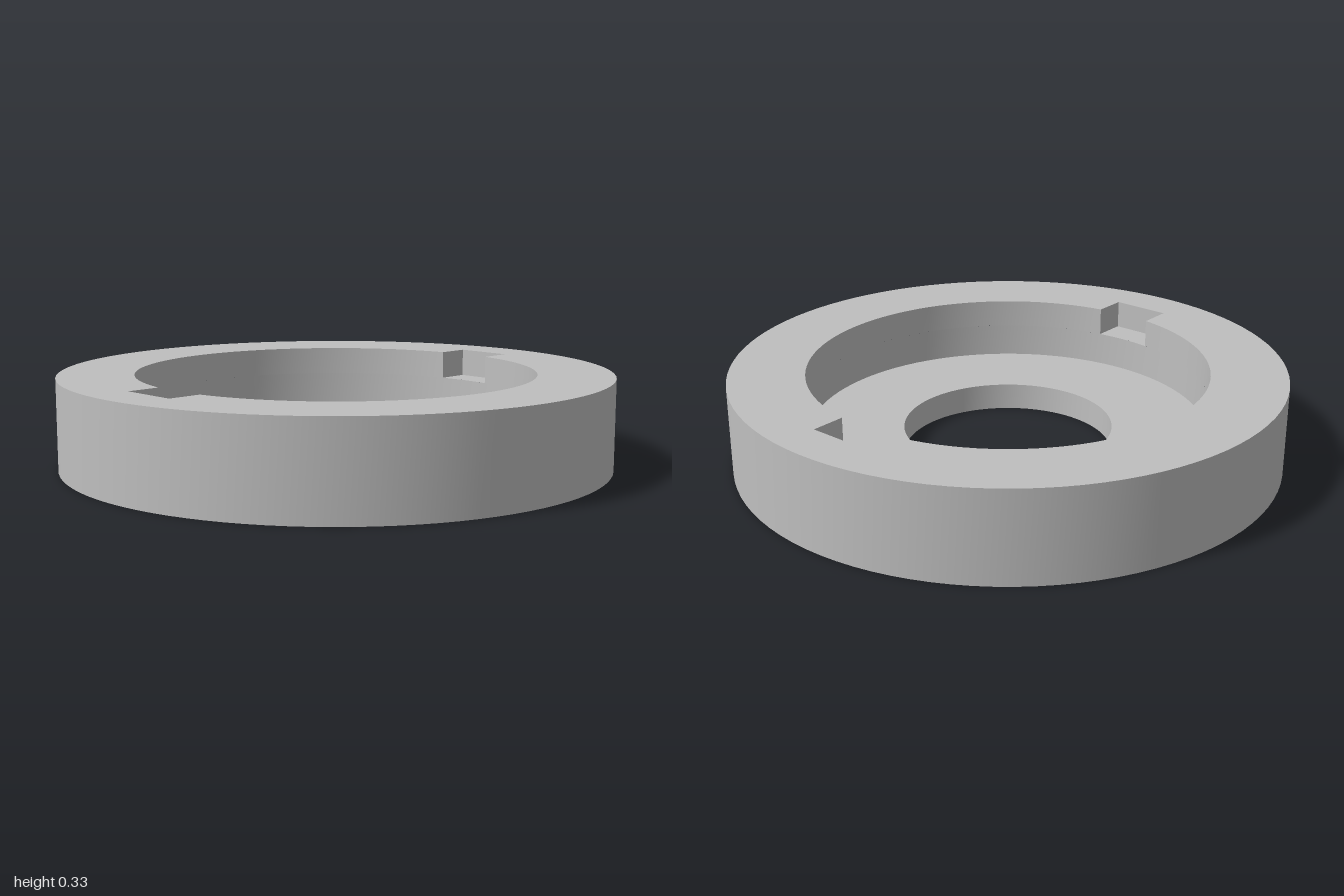
import * as THREE from 'three';
import { toCreasedNormals } from 'three/addons/utils/BufferGeometryUtils.js';

const SEGMENTS = 96;
const HEIGHT = 0.33, NOTCH_Y = 0.225, FLOOR_Y = 0.1;
const OUTER_R = 1, RECESS_R = 0.725, BORE_R = 0.38;
const NOTCH_X = 0.84, NOTCH_HALF = 0.11;

// Counter-clockwise arc, both ends included
function arc(radius, start, end, steps) {
  return Array.from({ length: steps + 1 }, (_, i) => {
    const a = start + ((end - start) * i) / steps;
    return new THREE.Vector2(radius * Math.cos(a), radius * Math.sin(a));
  });
}

const circle = (radius) => arc(radius, 0, Math.PI * 2, SEGMENTS).slice(0, -1);

// Horizontal face at height y
function plate(outline, hole, y, down = false) {
  const shape = new THREE.Shape(outline);
  if (hole) shape.holes.push(new THREE.Path(hole));
  const geometry = new THREE.ShapeGeometry(shape);
  if (down) geometry.rotateX(Math.PI / 2);
  else geometry.rotateX(-Math.PI / 2);
  return geometry.translate(0, y, 0);
}

// Vertical wall along a closed outline, facing out or in
function wall(outline, y0, y1, inward = false) {
  const points = inward ? [...outline].reverse() : outline;
  const positions = [];
  points.forEach((a, i) => {
    const b = points[(i + 1) % points.length];
    positions.push(a.x, y0, -a.y, b.x, y0, -b.y, b.x, y1, -b.y);
    positions.push(a.x, y0, -a.y, b.x, y1, -b.y, a.x, y1, -a.y);
  });
  const geometry = new THREE.BufferGeometry();
  geometry.setAttribute('position', new THREE.Float32BufferAttribute(positions, 3));
  return toCreasedNormals(geometry, Math.PI / 6);
}

export function createModel() {
  const group = new THREE.Group();
  group.name = 'notchedRing';
  const grey = new THREE.MeshStandardMaterial({ color: 0xbfbfbf });
  grey.name = 'grey';

  const add = (name, geometry) => {
    const mesh = new THREE.Mesh(geometry, grey);
    mesh.name = name;
    group.add(mesh);
  };

  const outer = circle(OUTER_R), recess = circle(RECESS_R), bore = circle(BORE_R);

  // Recess opening with a square notch at each side
  const half = Math.asin(NOTCH_HALF / RECESS_R);
  const opening = [], notches = [];
  for (const side of [1, -1]) {
    const turn = side > 0 ? 0 : Math.PI;
    const corners = [
      new THREE.Vector2(side * NOTCH_X, -side * NOTCH_HALF),
      new THREE.Vector2(side * NOTCH_X, side * NOTCH_HALF),
    ];
    opening.push(...corners, ...arc(RECESS_R, turn + half, turn + Math.PI - half, SEGMENTS / 2));
    notches.push([...corners, ...arc(RECESS_R, turn + half, turn - half, 6)]);
  }

  // Outside of the ring
  add('outerWall', wall(outer, 0, HEIGHT));
  add('bottomFace', plate(outer, bore, 0, true));
  add('topFace', plate(outer, opening, HEIGHT));

  // Stepped inside
  add('notchedWall', wall(opening, NOTCH_Y, HEIGHT, true));
  notches.forEach((outline, i) => add(i ? 'rightNotchFloor' : 'leftNotchFloor', plate(outline, null, NOTCH_Y)));
  add('recessWall', wall(recess, FLOOR_Y, NOTCH_Y, true));
  add('recessFloor', plate(recess, bore, FLOOR_Y));
  add('boreWall', wall(bore, 0, FLOOR_Y, true));

  return group;
}
